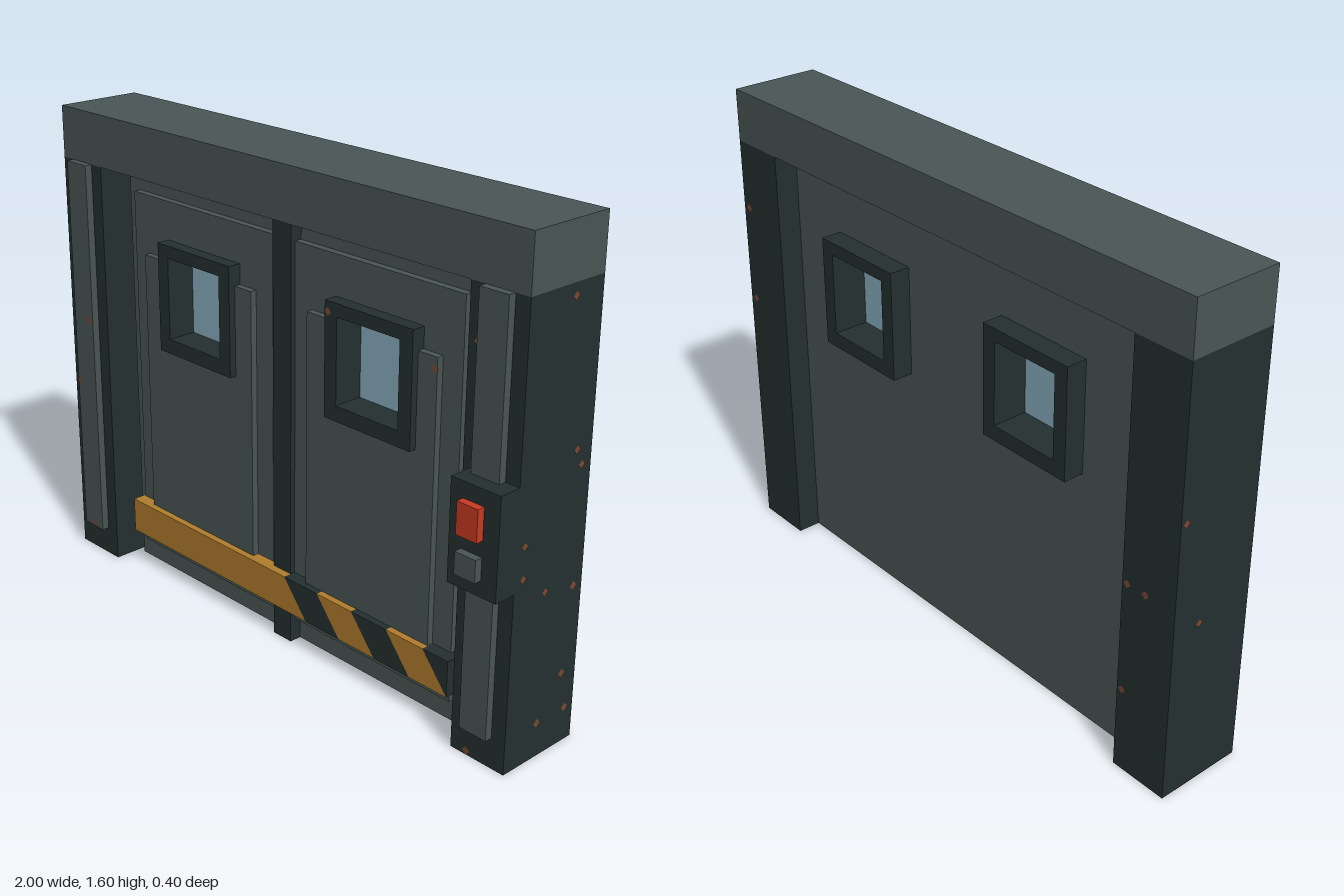
import * as THREE from 'three';

const mat = (name, hex) => {
  const m = new THREE.MeshStandardMaterial({ color: hex });
  m.name = name;
  return m;
};

export function createModel() {
  const root = new THREE.Group();
  root.name = 'slidingDoor';
  const grey = mat('greySteel', 0x4a5755);
  const dark = mat('darkSteel', 0x243030);
  const orange = mat('hazardOrange', 0xb27e2d);
  const glass = mat('paleGlass', 0x8bb0c1);
  const red = mat('buttonRed', 0xc83a22);
  const rust = mat('rust', 0x7c4a33);

  const add = (name, geo, material) => {
    const mesh = new THREE.Mesh(geo, material);
    mesh.name = name;
    root.add(mesh);
    return mesh;
  };
  // box given by its limits on each axis
  const box = (name, m, x0, x1, y0, y1, z0, z1) =>
    add(name, new THREE.BoxGeometry(x1 - x0, y1 - y0, z1 - z0), m)
      .position.set((x0 + x1) / 2, (y0 + y1) / 2, (z0 + z1) / 2);
  const rect = (x0, x1, y0, y1) => [[x0, y0], [x1, y0], [x1, y1], [x0, y1]];
  const vecs = (pts) => pts.map(([x, y]) => new THREE.Vector2(x, y));
  // plate cut from an outline in xy, with optional holes
  const plate = (name, m, outline, z0, z1, holes = []) => {
    const shape = new THREE.Shape(vecs(outline));
    for (const h of holes) shape.holes.push(new THREE.Path(vecs(h)));
    const geo = new THREE.ExtrudeGeometry(shape, { depth: z1 - z0, bevelEnabled: false });
    geo.translate(0, 0, z0);
    return add(name, geo, m);
  };

  // surrounding frame
  box('lintel', grey, -1, 1, 1.427, 1.6, -0.2, 0.1);
  for (const s of [-1, 1]) {
    const side = s > 0 ? 'left' : 'right';
    box(side + 'Post', dark, s * 0.9 - 0.1, s * 0.9 + 0.1, 0, 1.427, -0.2, 0.1);
    box(side + 'PostStrip', grey, s * 0.9 - 0.05, s * 0.9 + 0.05, 0.1, 1.427, 0.1, 0.125);
  }

  // door slab with two window openings
  const windows = [-0.375, 0.4];
  const cutouts = windows.map((c) => rect(c - 0.15, c + 0.15, 0.875, 1.2));
  plate('doorSlab', grey, rect(-0.775, 0.8, 0, 1.427), -0.12, 0, cutouts);
  box('centreStrip', dark, -0.03, 0.05, 0, 1.427, 0, 0.042);

  windows.forEach((c, i) => {
    const s = i ? 1 : -1;
    const side = i ? 'left' : 'right';
    // stepped panels on the front of each leaf
    const [a, b] = [s * 0.05, s * 0.722].sort((p, q) => p - q);
    plate(side + 'OuterPanel', grey, rect(a, b, 0.08, 1.35), 0, 0.025, [cutouts[i]]);
    const [p, q] = [s * 0.125, s * 0.648].sort((u, v) => u - v);
    plate(side + 'InnerPanel', grey, [
      [p, 0.16], [q, 0.16], [q, 1.155], [c + 0.15, 1.155],
      [c + 0.15, 0.875], [c - 0.15, 0.875], [c - 0.15, 1.155], [p, 1.155],
    ], 0.025, 0.047);
    // deep window frame and recessed pane
    plate(side + 'WindowFrame', dark, rect(c - 0.175, c + 0.175, 0.855, 1.222), -0.19, 0.07,
      [rect(c - 0.125, c + 0.125, 0.905, 1.18)]);
    box(side + 'WindowPane', glass, c - 0.125, c + 0.125, 0.905, 1.18, -0.07, -0.03);
  });

  // hazard bar made of slanted blocks
  const y0 = 0.127, y1 = 0.248, slant = 0.1;
  const bar = (name, m, x0, x1, leftSlant) =>
    plate(name, m, [[x0 + leftSlant, y0], [x1 + slant, y0], [x1, y1], [x0, y1]], 0, 0.07);
  const cuts = [0.05, 0.2, 0.352, 0.5, 0.65];
  bar('hazardBarBase', orange, -0.73, cuts[0], 0);
  for (let i = 0; i < 4; i++) {
    bar('hazardBlock', i % 2 ? orange : dark, cuts[i], cuts[i + 1], slant);
  }
  plate('hazardEnd', dark, [[0.75, y0], [0.75, y1], [0.65, y1]], 0, 0.07);

  // control box with two buttons
  box('controlBox', dark, 0.825, 1, 0.58, 0.9, 0.1, 0.175);
  box('redButton', red, 0.87, 0.945, 0.75, 0.85, 0.175, 0.2);
  box('greyButton', grey, 0.87, 0.945, 0.63, 0.7, 0.175, 0.2);

  // small rust spots: position and turn about y
  const spotGeo = new THREE.CircleGeometry(0.014, 4);
  const spot = (x, y, z, turn) => {
    const m = add('rustSpot', spotGeo, rust);
    m.position.set(x, y, z);
    m.rotation.y = turn;
  };
  for (const [z, y] of [[-0.085, 1.39], [-0.135, 0.94], [-0.16, 0.89], [0.065, 0.715], [0.065, 0.615],
    [-0.035, 0.54], [-0.16, 0.515], [-0.135, 0.24], [-0.035, 0.115], [-0.16, 0.115]]) {
    spot(1.002, y, z, Math.PI / 2);
  }
  for (const [z, y] of [[-0.1, 0.58], [-0.18, 0.94]]) spot(-1.002, y, z, -Math.PI / 2);
  for (const [x, y, z] of [[0.835, 1.265, 0.102], [0.86, 0.015, 0.102], [-0.89, 0.115, 0.127],
    [-0.865, 0.89, 0.127], [-0.94, 0.65, 0.127], [0.64, 1.12, 0.049], [0.24, 1.19, 0.072]]) {
    spot(x, y, z, 0);
  }
  for (const [x, y] of [[-0.82, 0.66], [-0.89, 0.66], [-0.82, 0.29], [0.97, 1.2], [0.97, 0.87]]) {
    spot(x, y, -0.202, Math.PI);
  }

  return root;
}
